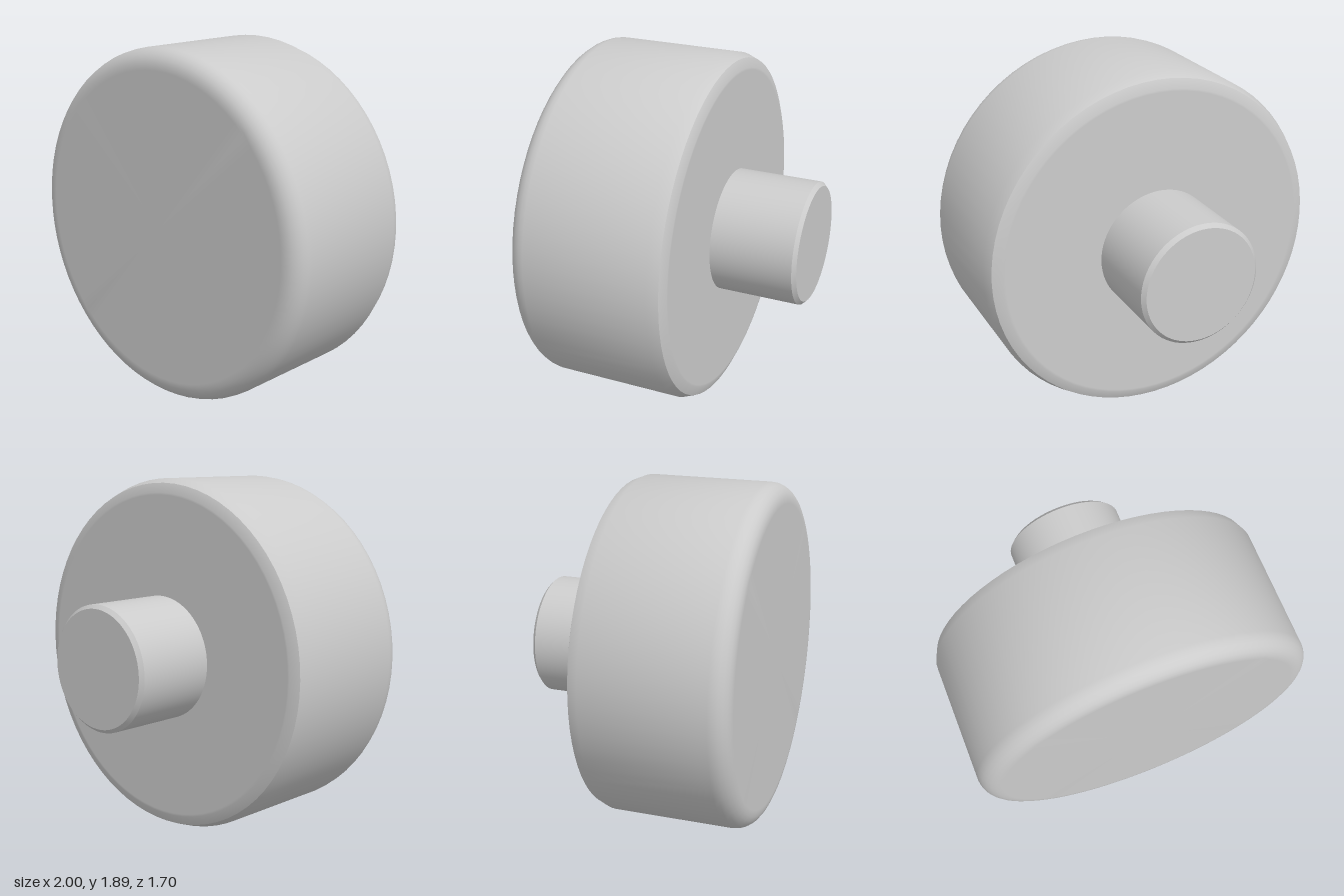
import * as THREE from 'three';
import { toCreasedNormals } from 'three/addons/utils/BufferGeometryUtils.js';

const grey = new THREE.MeshStandardMaterial({ color: 0xcccccc });

// Turned part: profile of [radius, z] from back to front, around the z axis
function turned(name, profile) {
  const points = profile.map(([r, z]) => new THREE.Vector2(r, z));
  const lathe = new THREE.LatheGeometry(points, 72).rotateX(Math.PI / 2);
  const mesh = new THREE.Mesh(toCreasedNormals(lathe, THREE.MathUtils.degToRad(35)), grey);
  mesh.name = name;
  return mesh;
}

export function createModel() {
  const R = 0.945, fillet = 0.1, front = 0.495, back = -0.352;

  // Drum: small two-step edge at the back, round fillet at the front
  const drum = [[0, back], [0.86, back], [0.872, back], [0.922, -0.33], [R, -0.272]];
  const steps = 6;
  for (let i = 0; i <= steps; i++) {
    const a = (i / steps) * Math.PI / 2;
    drum.push([R - fillet + fillet * Math.cos(a), front - fillet + fillet * Math.sin(a)]);
  }
  drum.push([0.835, front], [0, front]);

  // Stub shaft with a chamfered end, sunk slightly into the drum
  const shaft = [[0, -0.815], [0.31, -0.815], [0.33, -0.795], [0.33, back + 0.02]];

  const knob = new THREE.Group();
  knob.name = 'knob';
  knob.add(turned('drum', drum), turned('shaft', shaft));

  // Turn the axis sideways and set the drum on the ground
  knob.rotation.y = -0.463;
  knob.position.set(0.027, R, 0.013);

  const model = new THREE.Group();
  model.name = 'model';
  model.add(knob);
  return model;
}
